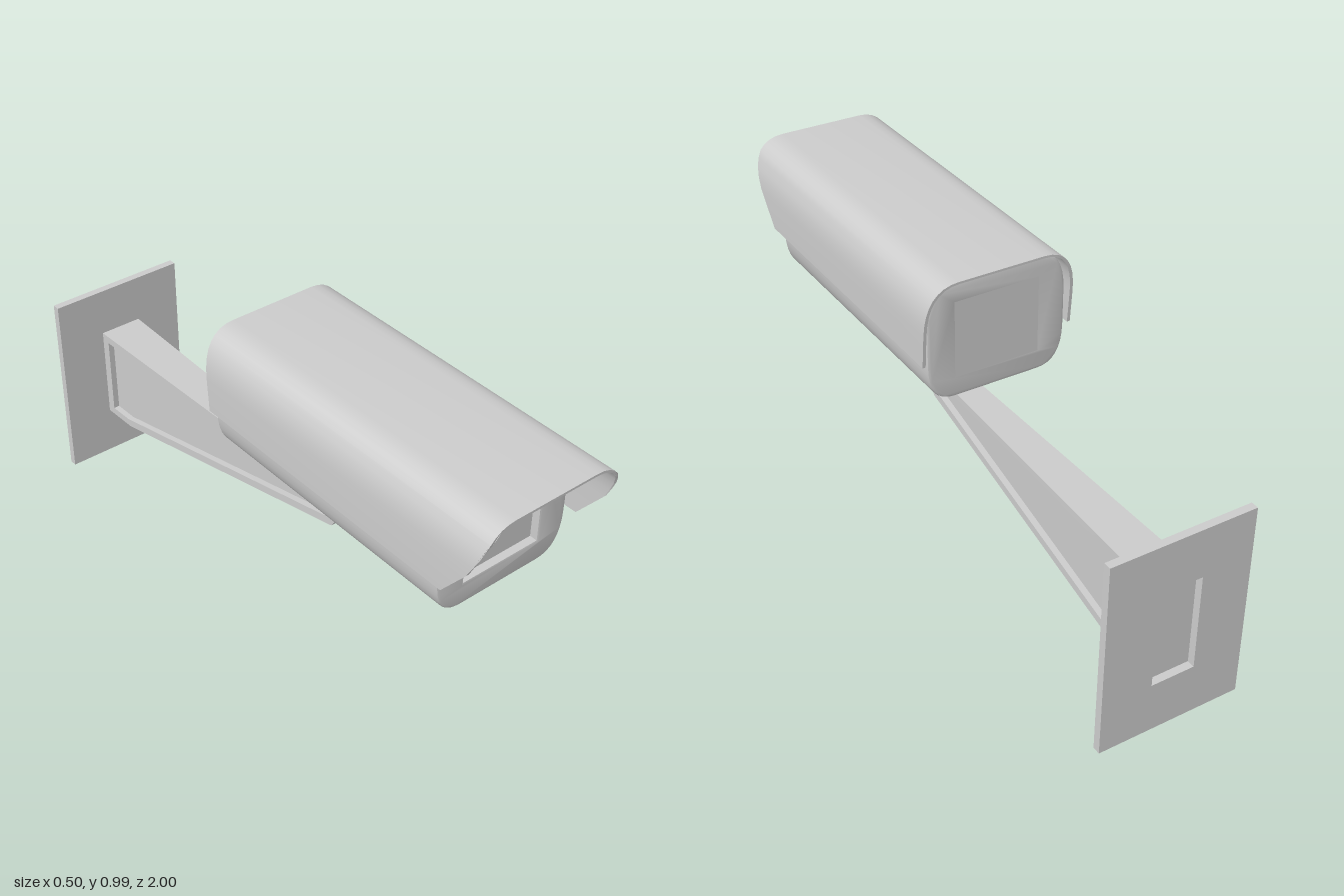
import * as THREE from 'three';
import { toCreasedNormals } from 'three/addons/utils/BufferGeometryUtils.js';

const material = new THREE.MeshStandardMaterial({ color: 0xcccccc });

function add(group, name, geometry, x = 0, y = 0, z = 0) {
  const mesh = new THREE.Mesh(geometry, material);
  mesh.name = name;
  mesh.position.set(x, y, z);
  group.add(mesh);
  return mesh;
}

const polygon = (points) => new THREE.Shape(points.map(([a, b]) => new THREE.Vector2(a, b)));

const rect = (w, y0, y1) => polygon([[-w, y0], [w, y0], [w, y1], [-w, y1]]);

// Piecewise linear lookup in a list of [input, output]
function lookup(table, v) {
  if (v <= table[0][0]) return table[0][1];
  for (let i = 1; i < table.length; i++) {
    const [a, fa] = table[i - 1], [b, fb] = table[i];
    if (v <= b) return fa + ((fb - fa) * (v - a)) / (b - a);
  }
  return table[table.length - 1][1];
}

// Extrudes a (z, y) side profile across x; width(z) gives the half width
function sideExtrude(shape, width) {
  const g = new THREE.ExtrudeGeometry(shape, { depth: 2, bevelEnabled: false, curveSegments: 10 });
  g.translate(0, 0, -1).rotateY(-Math.PI / 2);
  const p = g.attributes.position;
  for (let i = 0; i < p.count; i++) p.setX(i, p.getX(i) * width(p.getZ(i)));
  return toCreasedNormals(g, 0.5);
}

// Camera body: soft rounded tube with a recessed front window
function buildHousing(group) {
  const w = 0.23, c = 0.14, y0 = 0.6, y1 = 0.978, s0 = 0.73, s1 = 0.848;
  const s = new THREE.Shape();
  s.moveTo(w, s0);
  s.lineTo(w, s1);
  s.quadraticCurveTo(w, y1, c, y1);
  s.lineTo(-c, y1);
  s.quadraticCurveTo(-w, y1, -w, s1);
  s.lineTo(-w, s0);
  s.quadraticCurveTo(-w, y0, -c, y0);
  s.lineTo(c, y0);
  s.quadraticCurveTo(w, y0, w, s0);
  s.holes.push(rect(0.132, 0.673, 0.907));
  const b = 0.008;
  const g = new THREE.ExtrudeGeometry(s, {
    depth: 0.94 - 2 * b, bevelThickness: b, bevelSize: b, bevelOffset: -b, bevelSegments: 2, curveSegments: 8,
  });
  g.translate(0, 0, -0.1 + b);
  add(group, 'housing', toCreasedNormals(g, 0.55));
  add(group, 'windowCore', new THREE.BoxGeometry(0.28, 0.25, 0.915), 0, 0.79, 0.3575);
}

// Sun hood: thin arch whose front edge sweeps back towards the bottom
function buildHood(group) {
  const y0 = 0.735, s1 = 0.84, c = 0.14;
  const [wo, to, wi, ti] = [0.249, 0.992, 0.239, 0.985];
  const s = new THREE.Shape();
  s.moveTo(wo, y0);
  s.lineTo(wo, s1);
  s.quadraticCurveTo(wo, to, c, to);
  s.lineTo(-c, to);
  s.quadraticCurveTo(-wo, to, -wo, s1);
  s.lineTo(-wo, y0);
  s.lineTo(-wi, y0);
  s.lineTo(-wi, s1);
  s.quadraticCurveTo(-wi, ti, -c, ti);
  s.lineTo(c, ti);
  s.quadraticCurveTo(wi, ti, wi, s1);
  s.lineTo(wi, y0);
  const g = new THREE.ExtrudeGeometry(s, { depth: 1, bevelEnabled: false, curveSegments: 8 });
  const front = [[0.735, 0.87], [0.845, 0.957], [0.91, 0.985], [0.955, 1]];
  const back = [[0.735, -0.105], [0.985, -0.125]];
  const p = g.attributes.position;
  for (let i = 0; i < p.count; i++) p.setZ(i, lookup(p.getZ(i) > 0.5 ? front : back, p.getY(i)));
  add(group, 'sunHood', toCreasedNormals(g, 0.55));
}

// Tapered wall arm with a sunken panel on each side
function buildArm(group) {
  const half = (z) => lookup([[-0.975, 0.072], [0.2, 0.042]], z);
  const panel = [[-0.945, 0.19], [-0.86, 0.19], [0.17, 0.415], [0.17, 0.46], [-0.945, 0.46]];
  const frame = polygon([
    [-0.975, 0.165], [-0.85, 0.165], [0.2, 0.395], [0.245, 0.46], [0.295, 0.46], [0.295, 0.485], [0.2, 0.485], [-0.975, 0.485],
  ]);
  frame.holes.push(polygon(panel));
  add(group, 'armFrame', sideExtrude(frame, half));
  add(group, 'armWeb', sideExtrude(polygon(panel), (z) => half(z) - 0.02));
  add(group, 'armTip', new THREE.CylinderGeometry(0.042, 0.042, 0.025, 32), 0, 0.4725, 0.295);
}

// Swivel joint between arm and camera
function buildJoint(group) {
  const z = 0.295;
  const s = new THREE.Shape();
  s.moveTo(z - 0.045, 0.485);
  s.lineTo(z + 0.045, 0.485);
  s.lineTo(z + 0.043, 0.505);
  s.lineTo(z + 0.03, 0.545);
  s.quadraticCurveTo(z + 0.022, 0.57, z, 0.57);
  s.quadraticCurveTo(z - 0.022, 0.57, z - 0.03, 0.545);
  s.lineTo(z - 0.043, 0.505);
  add(group, 'swivelBlock', sideExtrude(s, () => 0.04));
  add(group, 'swivelStem', new THREE.CylinderGeometry(0.012, 0.012, 0.03, 20), 0, 0.575, z);
  const nut = [[0, 0.434], [0.018, 0.436], [0.028, 0.446], [0.031, 0.452], [0.031, 0.462]]
    .map(([r, y]) => new THREE.Vector2(r, y));
  add(group, 'swivelNut', toCreasedNormals(new THREE.LatheGeometry(nut, 24), 0.6), 0, 0, z);
  add(group, 'mountingPlate', new THREE.BoxGeometry(0.23, 0.02, 0.37), 0, 0.593, 0.33);
}

// Wall plate, open behind the arm
function buildWallPlate(group) {
  const s = rect(0.232, 0, 0.645);
  s.holes.push(rect(0.07, 0.167, 0.483));
  const g = new THREE.ExtrudeGeometry(s, { depth: 0.025, bevelEnabled: false });
  add(group, 'wallPlate', g, 0, 0, -1);
}

export function createModel() {
  const model = new THREE.Group();
  model.name = 'securityCamera';
  for (const [name, build] of Object.entries({
    cameraBody: buildHousing, hood: buildHood, arm: buildArm, joint: buildJoint, wallMount: buildWallPlate,
  })) {
    const part = new THREE.Group();
    part.name = name;
    build(part);
    model.add(part);
  }
  return model;
}
